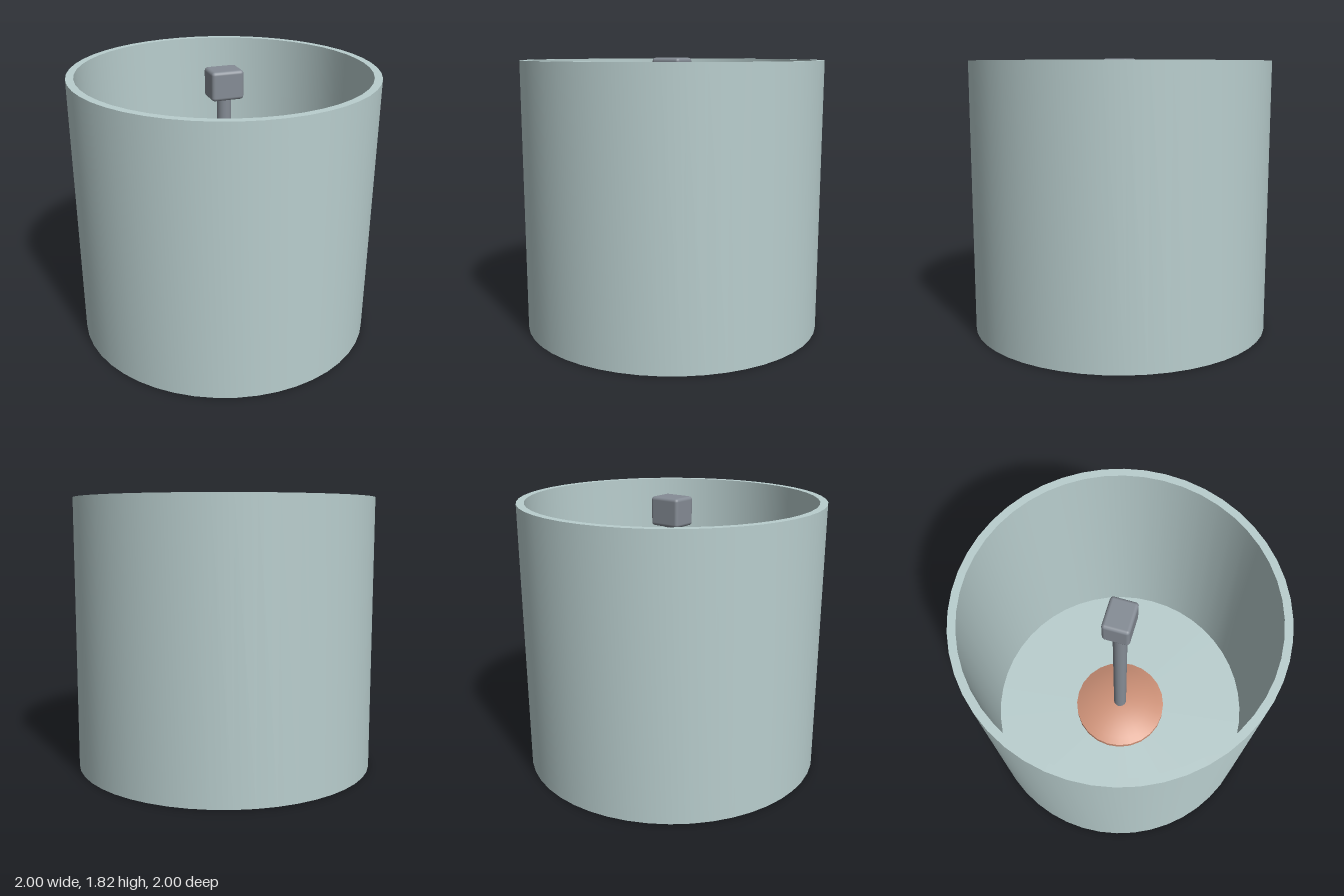
import * as THREE from 'three';
import { toCreasedNormals } from 'three/addons/utils/BufferGeometryUtils.js';
import { RoundedBoxGeometry } from 'three/addons/geometries/RoundedBoxGeometry.js';

const material = (name, color) => {
  const m = new THREE.MeshStandardMaterial({ color });
  m.name = name;
  return m;
};

// Turned solid from [radius, height] pairs, keeping sharp edges
const turned = (points, sides) => toCreasedNormals(
  new THREE.LatheGeometry(points.map(([r, y]) => new THREE.Vector2(r, y)), sides),
  Math.PI / 5
);

export function createModel() {
  const model = new THREE.Group();
  const paleGreen = material('pale grey green', 0xb9cece);
  const copper = material('copper', 0xd09379);
  const steel = material('steel grey', 0x858c95);

  const add = (name, geometry, mat, y = 0) => {
    const mesh = new THREE.Mesh(geometry, mat);
    mesh.name = name;
    mesh.position.y = y;
    model.add(mesh);
  };

  const floor = 0.05;
  const headTop = 1.815;
  const headHeight = 0.19;

  // Open drum with a thin wall and a closed floor
  add('drum', turned([[0, 0], [1, 0], [1, 1.8], [0.95, 1.8], [0.95, floor], [0, floor]], 48), paleGreen);

  // Shallow dome at the foot of the stem
  const dome = [[0, 0], [0.34, 0], [0.34, 0.05]];
  for (let i = 1; i <= 6; i++) {
    const r = 0.34 * (1 - i / 6);
    dome.push([r, 0.05 + 0.08 * (1 - (r / 0.34) ** 2)]);
  }
  add('dome', turned(dome, 24), copper, floor);

  // Stem rising from the dome into the head
  const stemBottom = floor + 0.1;
  const stemTop = headTop - headHeight + 0.02;
  add('stem', new THREE.CylinderGeometry(0.047, 0.047, stemTop - stemBottom, 16), steel, (stemTop + stemBottom) / 2);

  // Block head with softened edges
  add('head', new RoundedBoxGeometry(0.215, headHeight, 0.175, 2, 0.022), steel, headTop - headHeight / 2);

  return model;
}
